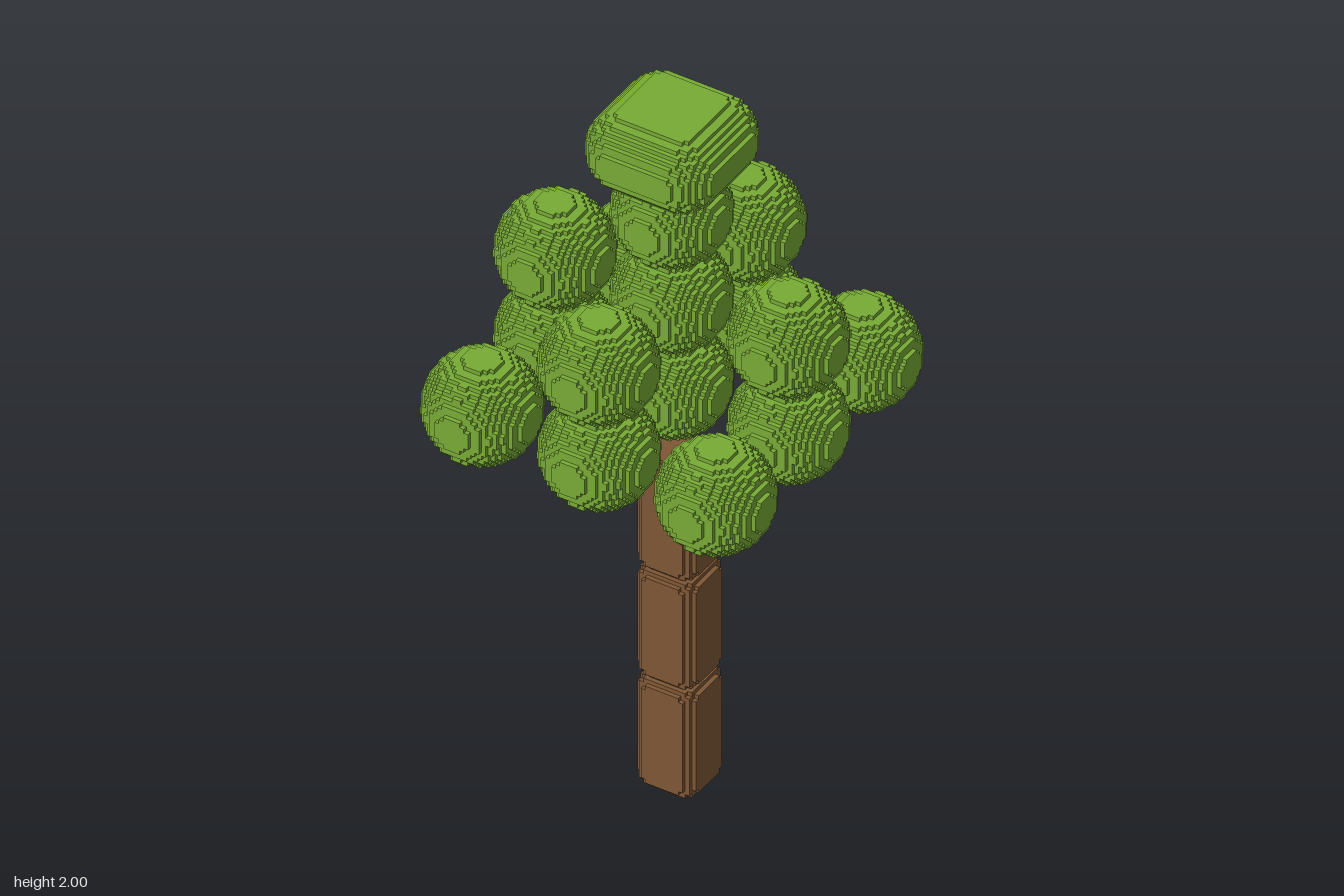
import * as THREE from 'three';

const UNIT = 2 / 168; // edge of one small cube

// Rounded block made of small cubes: only exposed faces, merged into strips.
function steppedBlock(size, radius, limit = radius * radius) {
  const filled = (c) => {
    let sum = 0;
    for (let a = 0; a < 3; a++) {
      if (c[a] < 0 || c[a] >= size[a]) return false;
      const half = size[a] / 2;
      const q = Math.max(Math.abs(c[a] + 0.5 - half) - (half - radius), 0);
      sum += q * q;
    }
    return sum <= limit;
  };
  const positions = [], normals = [], index = [];

  const addStrip = (a, sign, layer, u0, u1, row) => {
    const u = (a + 1) % 3, v = (a + 2) % 3, base = positions.length / 3;
    for (const [pu, pv] of [[u0, row], [u1, row], [u1, row + 1], [u0, row + 1]]) {
      const p = [0, 0, 0], n = [0, 0, 0];
      p[a] = layer + (sign > 0 ? 1 : 0);
      p[u] = pu;
      p[v] = pv;
      n[a] = sign;
      positions.push(...p.map((x, i) => (x - size[i] / 2) * UNIT));
      normals.push(...n);
    }
    const order = sign > 0 ? [0, 1, 2, 0, 2, 3] : [0, 2, 1, 0, 3, 2];
    index.push(...order.map((i) => base + i));
  };

  for (let a = 0; a < 3; a++) {
    const u = (a + 1) % 3, v = (a + 2) % 3;
    for (const sign of [-1, 1]) {
      for (let layer = 0; layer < size[a]; layer++) {
        for (let row = 0; row < size[v]; row++) {
          let start = -1;
          for (let i = 0; i <= size[u]; i++) {
            const c = [0, 0, 0];
            c[a] = layer;
            c[u] = i;
            c[v] = row;
            const next = [...c];
            next[a] += sign;
            const exposed = filled(c) && !filled(next);
            if (exposed && start < 0) start = i;
            if (!exposed && start >= 0) {
              addStrip(a, sign, layer, start, i, row);
              start = -1;
            }
          }
        }
      }
    }
  }
  const geometry = new THREE.BufferGeometry();
  geometry.setAttribute('position', new THREE.Float32BufferAttribute(positions, 3));
  geometry.setAttribute('normal', new THREE.Float32BufferAttribute(normals, 3));
  geometry.setIndex(index);
  return geometry;
}

export function createModel() {
  const leaf = new THREE.MeshStandardMaterial({ name: 'leafGreen', color: 0x77aa35 });
  const bark = new THREE.MeshStandardMaterial({ name: 'barkBrown', color: 0x7e5635 });
  const tree = new THREE.Group();
  tree.name = 'tree';

  // Positions are block centres counted in small cubes
  const add = (name, geometry, material, x, y, z) => {
    const mesh = new THREE.Mesh(geometry, material);
    mesh.name = name;
    mesh.position.set(x, y, z).multiplyScalar(UNIT);
    tree.add(mesh);
  };

  // Trunk: three stacked blocks, set slightly off centre
  const trunk = steppedBlock([14, 29, 14], 4);
  for (let i = 0; i < 3; i++) add('trunkBlock', trunk, bark, 5, 14.5 + 28 * i, 5);

  // Leaf balls: full 3 x 3 layer, then a cross, then a single ball
  const ball = steppedBlock([24, 24, 24], 12, 148);
  const reach = [2, 1, 0];
  reach.forEach((maxSteps, level) => {
    for (let i = -1; i <= 1; i++) {
      for (let k = -1; k <= 1; k++) {
        if (Math.abs(i) + Math.abs(k) > maxSteps) continue;
        add('leafBall', ball, leaf, 28 * i, 98 + 22 * level, 28 * k);
      }
    }
  });

  // Wide cushion on top
  add('crown', steppedBlock([30, 18, 30], 9), leaf, 0, 159, 0);
  return tree;
}
